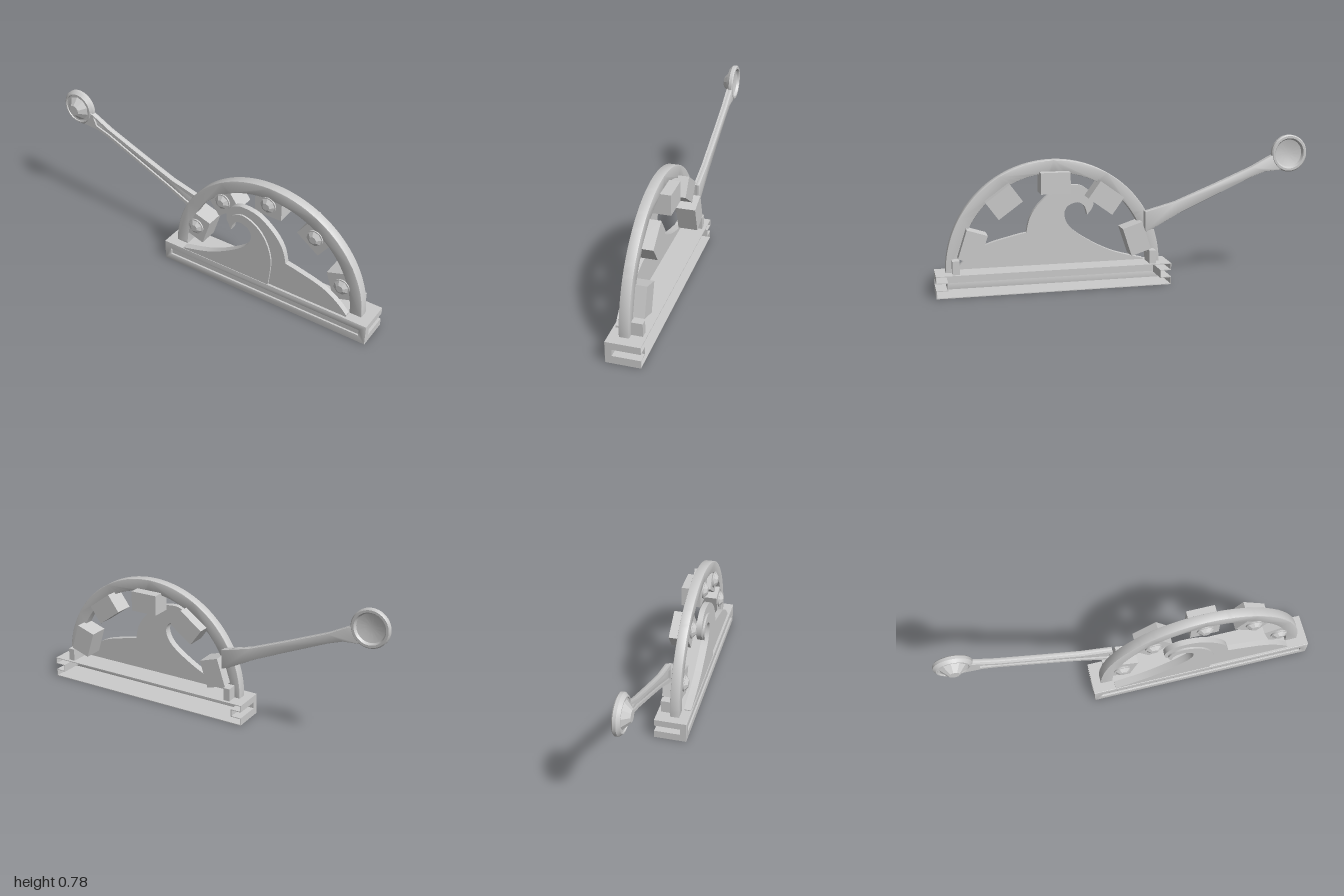
import * as THREE from 'three';
import { toCreasedNormals } from 'three/addons/utils/BufferGeometryUtils.js';

const smooth = new THREE.MeshStandardMaterial({ color: 0xcccccc, side: THREE.DoubleSide });
const faceted = new THREE.MeshStandardMaterial({ color: 0xcccccc, flatShading: true });
const CX = 0.382, CY = 0.113; // centre of the arch

const vec = (pts) => pts.map(([x, y]) => new THREE.Vector2(x, y));

function add(parent, name, geometry, material = smooth) {
  const mesh = new THREE.Mesh(geometry, material);
  mesh.name = name;
  parent.add(mesh);
  return mesh;
}

// Box given by its minimum and maximum corners
function box(parent, name, a, b) {
  const mesh = add(parent, name, new THREE.BoxGeometry(b[0] - a[0], b[1] - a[1], b[2] - a[2]));
  mesh.position.set((a[0] + b[0]) / 2, (a[1] + b[1]) / 2, (a[2] + b[2]) / 2);
  return mesh;
}

// Flat shape extruded from z0 to z1, with an optional bevel on both faces
function slab(shape, z0, z1, bevel = 0) {
  const g = new THREE.ExtrudeGeometry(shape, {
    depth: z1 - z0 - 2 * bevel, curveSegments: 48, bevelEnabled: bevel > 0,
    bevelThickness: bevel, bevelSize: bevel, bevelOffset: -bevel, bevelSegments: 2,
  });
  g.translate(0, 0, z0 + bevel);
  return toCreasedNormals(g, 0.6);
}

function rect(x0, y0, x1, y1, Type = THREE.Shape) {
  return new Type(vec([[x0, y0], [x1, y0], [x1, y1], [x0, y1]]));
}

// Hollow base, open at the back, with a front groove and end slots
function makeBase() {
  const base = new THREE.Group();
  base.name = 'base';
  const x0 = -0.23, x1 = 1, h = 0.115, back = -0.087, front = 0.09, t = 0.004;
  const lo = 0.042, hi = 0.077, depth = 0.06;
  box(base, 'baseTop', [x0, h - t, back], [x1, h, front - t]);
  box(base, 'baseBottom', [x0, 0, back], [x1, t, front - t]);
  const face = rect(x0, 0, x1, h);
  face.holes.push(rect(-0.19, lo, 0.96, hi, THREE.Path));
  add(base, 'baseFront', slab(face, front - 0.012, front, 0.003));
  box(base, 'grooveFloor', [-0.2, lo - t, front - 0.016], [0.97, hi + t, front - 0.012]);
  for (const [end, s] of [[x0, 1], [x1, -1]]) {
    const span = (d0, d1) => [Math.min(end + s * d0, end + s * d1), Math.max(end + s * d0, end + s * d1)];
    const part = (name, d0, d1, y0, y1, z0, z1) => {
      const [a, b] = span(d0, d1);
      box(base, name, [a, y0, z0], [b, y1, z1]);
    };
    part('endLower', 0, t, t, lo, back, front - t);
    part('endUpper', 0, t, hi, h - t, back, front - t);
    part('endCorner', 0, t, lo, hi, 0.057, front - t);
    part('slotFloor', 0, depth, lo - t, lo, back, 0.057);
    part('slotRoof', 0, depth, hi, hi + t, back, 0.057);
    part('slotInnerWall', depth - t, depth, lo, hi, back, 0.057);
    part('slotFrontWall', 0, depth, lo, hi, 0.055, 0.059);
  }
  return base;
}

// Half ring with five bolted blocks on its inside
function makeArch() {
  const arch = new THREE.Group();
  arch.name = 'arch';
  const ring = new THREE.Shape();
  ring.absarc(CX, CY, 0.564, 0, Math.PI, false);
  ring.absarc(CX, CY, 0.497, Math.PI, 0, true);
  ring.closePath();
  add(arch, 'archRing', slab(ring, -0.013, 0.038, 0.003));

  for (const degrees of [18, 54, 90, 126, 162]) {
    const tooth = new THREE.Group();
    tooth.name = 'boltedBlock';
    tooth.position.set(CX, CY, 0);
    tooth.rotation.z = THREE.MathUtils.degToRad(degrees);
    box(tooth, 'block', [0.395, -0.077, -0.07], [0.505, 0.077, 0.036]);
    const washer = add(tooth, 'washer', new THREE.CylinderGeometry(0.046, 0.046, 0.01, 20));
    const head = add(tooth, 'boltHead', new THREE.CylinderGeometry(0.02, 0.042, 0.016, 8), faceted);
    washer.rotation.x = head.rotation.x = Math.PI / 2;
    washer.position.set(0.462, 0, 0.039);
    head.position.set(0.462, 0, 0.052);
    arch.add(tooth);
  }
  // Short feet behind the ends of the ring
  for (const s of [-1, 1]) {
    const x = CX + s * 0.515;
    box(arch, 'archFoot', [x - 0.018, 0.112, -0.07], [x + 0.018, 0.185, -0.012]);
  }
  return arch;
}

// Breaking wave: a full body and a thinner raised face
function makeWave() {
  const wave = new THREE.Group();
  wave.name = 'wave';
  const hollow = [[-0.11, 0.12], [0.06, 0.168], [0.195, 0.238], [0.286, 0.307], [0.318, 0.372],
    [0.302, 0.42], [0.249, 0.441], [0.211, 0.42], [0.195, 0.372]];
  const crest = [[0.195, 0.372], [0.163, 0.42], [0.168, 0.479], [0.211, 0.521], [0.265, 0.534],
    [0.356, 0.516], [0.447, 0.447], [0.5, 0.372], [0.521, 0.291]];
  const swell = [[0.521, 0.291], [0.596, 0.275], [0.73, 0.238], [0.82, 0.184], [0.88, 0.126]];
  const lip = [[0.195, 0.372], [0.18, 0.42], [0.2, 0.462], [0.255, 0.489], [0.315, 0.475],
    [0.375, 0.43], [0.42, 0.355], [0.44, 0.26], [0.428, 0.113]];
  const outline = (...runs) => {
    const s = new THREE.Shape();
    s.moveTo(-0.11, 0.113);
    s.lineTo(...runs[0][0]);
    for (const run of runs) s.splineThru(vec(run.slice(1)));
    s.lineTo(runs.at(-1).at(-1)[0], 0.113);
    const pts = s.getPoints(4);
    return new THREE.Shape(pts.filter((p, i) => i === 0 || p.distanceTo(pts[i - 1]) > 1e-4));
  };
  add(wave, 'waveBody', slab(outline(hollow, crest, swell), 0.047, 0.077));
  add(wave, 'waveFace', slab(outline(hollow, lip), 0.076, 0.087));
  return wave;
}

// Tapered lever with a recessed front and a round knob
function makeLever() {
  const lever = new THREE.Group();
  lever.name = 'lever';
  const upper = [[-0.81, 0.672], [-0.765, 0.65], [-0.687, 0.609], [-0.473, 0.521], [-0.26, 0.437], [-0.094, 0.393]];
  const lower = [[-0.094, 0.285], [-0.136, 0.3], [-0.286, 0.38], [-0.473, 0.463], [-0.687, 0.556],
    [-0.765, 0.583], [-0.86, 0.59]];
  add(lever, 'leverArm', slab(new THREE.Shape(vec([...upper, ...lower])), -0.058, -0.036, 0.004));
  const rim = new THREE.Shape(vec([...upper, ...lower]));
  rim.holes.push(new THREE.Path(vec([[-0.795, 0.655], [-0.687, 0.592], [-0.473, 0.506], [-0.26, 0.421],
    [-0.11, 0.372], [-0.11, 0.312], [-0.286, 0.396], [-0.473, 0.479], [-0.687, 0.574], [-0.775, 0.604]])));
  add(lever, 'leverRim', slab(rim, -0.038, -0.026));

  const knob = new THREE.Group();
  knob.name = 'knob';
  knob.position.set(-0.9, 0.677, 0);
  knob.rotation.x = Math.PI / 2;
  const profile = [[0, -0.036], [0.035, -0.036], [0.074, -0.046], [0.082, -0.06], [0.094, -0.06],
    [0.1, -0.054], [0.1, -0.038], [0.086, -0.022], [0.08, -0.022], [0.077, -0.027], [0, -0.027]];
  add(knob, 'knobDisc', toCreasedNormals(new THREE.LatheGeometry(vec(profile), 40).toNonIndexed(), 0.5));
  const boss = add(knob, 'knobBoss', new THREE.CylinderGeometry(0.03, 0.07, 0.037, 10), faceted);
  boss.position.y = -0.0095;
  lever.add(knob);
  return lever;
}

export function createModel() {
  const model = new THREE.Group();
  model.name = 'leverArchWithWave';
  model.add(makeBase(), makeArch(), makeWave(), makeLever());
  return model;
}
